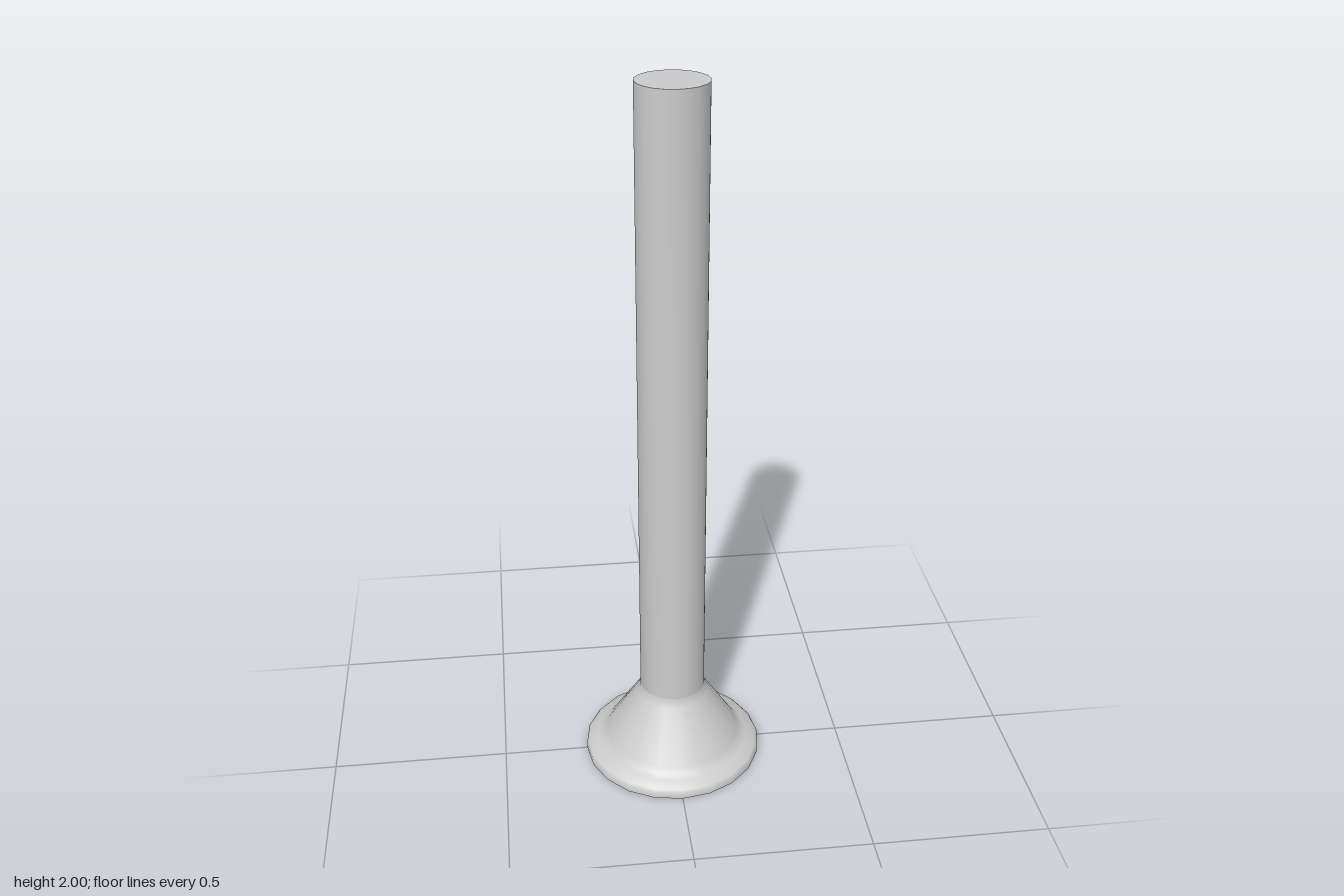
import * as THREE from 'three';
import { toCreasedNormals } from 'three/addons/utils/BufferGeometryUtils.js';

const SIDES = 20;

// Revolve a [radius, height] profile, listed bottom to top, keeping sharp edges
function turned(name, profile, material) {
  const points = profile.map(([r, y]) => new THREE.Vector2(r, y));
  const geometry = toCreasedNormals(new THREE.LatheGeometry(points, SIDES), 0.8);
  const mesh = new THREE.Mesh(geometry, material);
  mesh.name = name;
  return mesh;
}

export function createModel() {
  const model = new THREE.Group();
  model.name = 'flaredTube';
  const material = new THREE.MeshStandardMaterial({ color: 0xcccccc });

  // Thin flange with a flat underside, curving up into a cone
  model.add(turned('flaredBase', [
    [0, 0], [0.257, 0], [0.257, 0.018], [0.25, 0.026], [0.222, 0.037],
    [0.206, 0.047], [0.195, 0.062], [0.105, 0.203], [0.097, 0.217], [0.094, 0.23],
  ], material));

  // Straight shaft with a flat closed top
  model.add(turned('shaft', [[0.094, 0.23], [0.094, 2], [0, 2]], material));

  return model;
}
